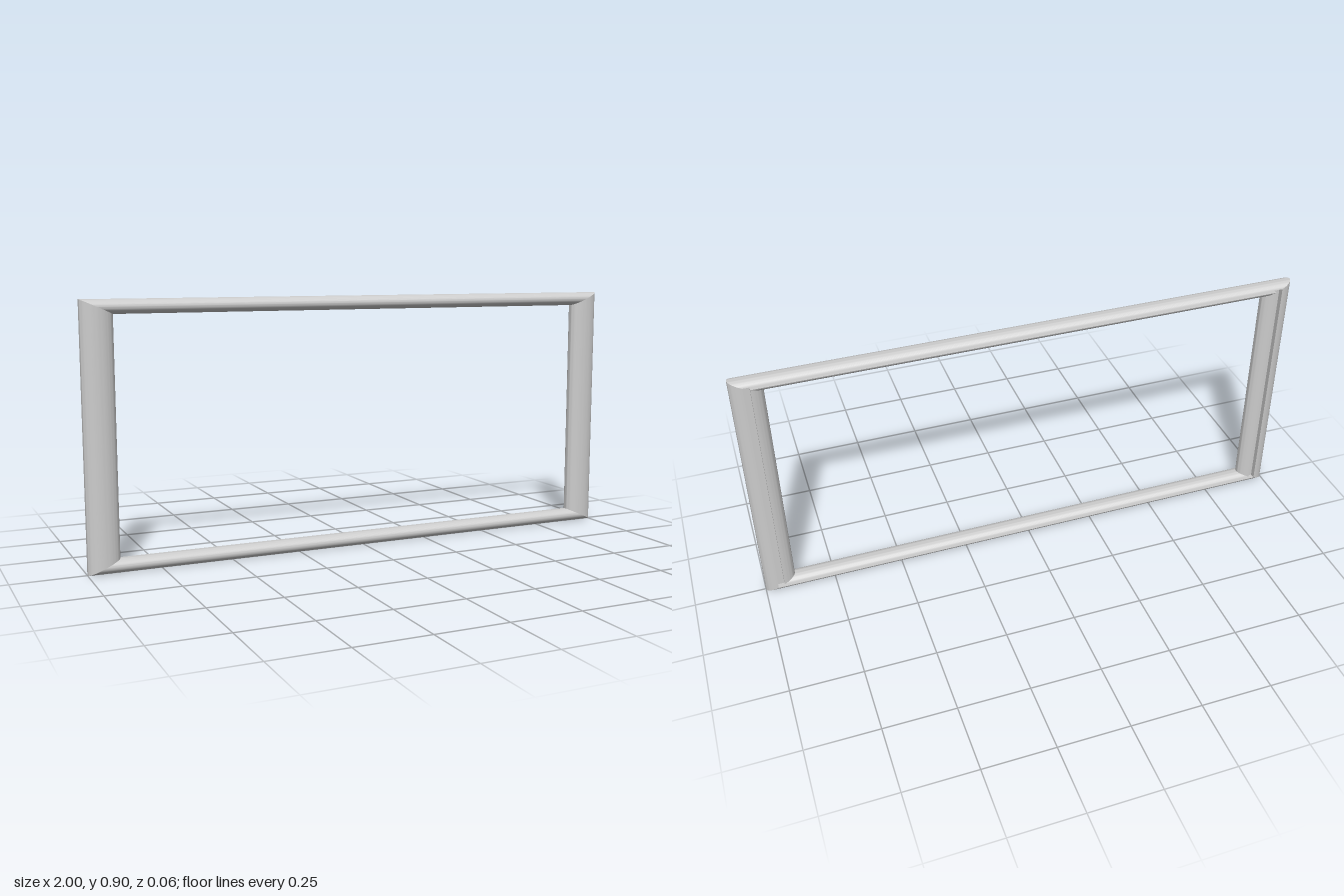
import * as THREE from 'three';
import { toCreasedNormals } from 'three/addons/utils/BufferGeometryUtils.js';

const HEIGHT = 0.905;
const STILE_W = 0.11;   // width of the upright sides
const RAIL_H = 0.049;   // height of the top and bottom
const HALF_DEPTH = 0.0325;
const SLOT = 0.21;      // slot width as a fraction of the moulding width
const SLOT_Z = -0.012;  // floor of the slot in the back

// Closed moulding section: a runs 0 (outer edge) to 1 (inner edge), z is depth
function mouldingProfile(segments = 56) {
  const start = -Math.PI / 2 + Math.asin(SLOT);
  const sweep = 2 * (Math.PI - Math.asin(SLOT));
  const points = [];
  for (let i = 0; i <= segments; i++) {
    const t = start + sweep * i / segments;
    points.push({ a: 0.5 - 0.5 * Math.cos(t), z: HALF_DEPTH * Math.sin(t) });
  }
  // floor of the slot that holds the backing
  points.push({ a: 0.5 + SLOT / 2, z: SLOT_Z }, { a: 0.5 - SLOT / 2, z: SLOT_Z });
  return points;
}

// One mitred length of moulding between two frame corners (signs of x and y)
function mouldingGeometry(profile, from, to) {
  const at = (corner, p) => [
    corner[0] * (1 - STILE_W * p.a),
    HEIGHT / 2 + corner[1] * (HEIGHT / 2 - RAIL_H * p.a),
    p.z,
  ];
  const positions = [];
  profile.forEach((p, i) => {
    const q = profile[(i + 1) % profile.length];
    const A = at(from, p), B = at(to, p), C = at(to, q), D = at(from, q);
    positions.push(...A, ...B, ...C, ...A, ...C, ...D);
  });
  const geometry = new THREE.BufferGeometry();
  geometry.setAttribute('position', new THREE.Float32BufferAttribute(positions, 3));
  return toCreasedNormals(geometry, 0.6);
}

export function createModel() {
  const frame = new THREE.Group();
  frame.name = 'pictureFrame';
  const material = new THREE.MeshStandardMaterial({ color: 0xcccccc });
  const profile = mouldingProfile();

  // Four sides, counter-clockwise from the bottom
  const corners = [[-1, -1], [1, -1], [1, 1], [-1, 1]];
  ['bottomRail', 'leftStile', 'topRail', 'rightStile'].forEach((name, i) => {
    const mesh = new THREE.Mesh(
      mouldingGeometry(profile, corners[i], corners[(i + 1) % 4]), material);
    mesh.name = name;
    frame.add(mesh);
  });
  return frame;
}
